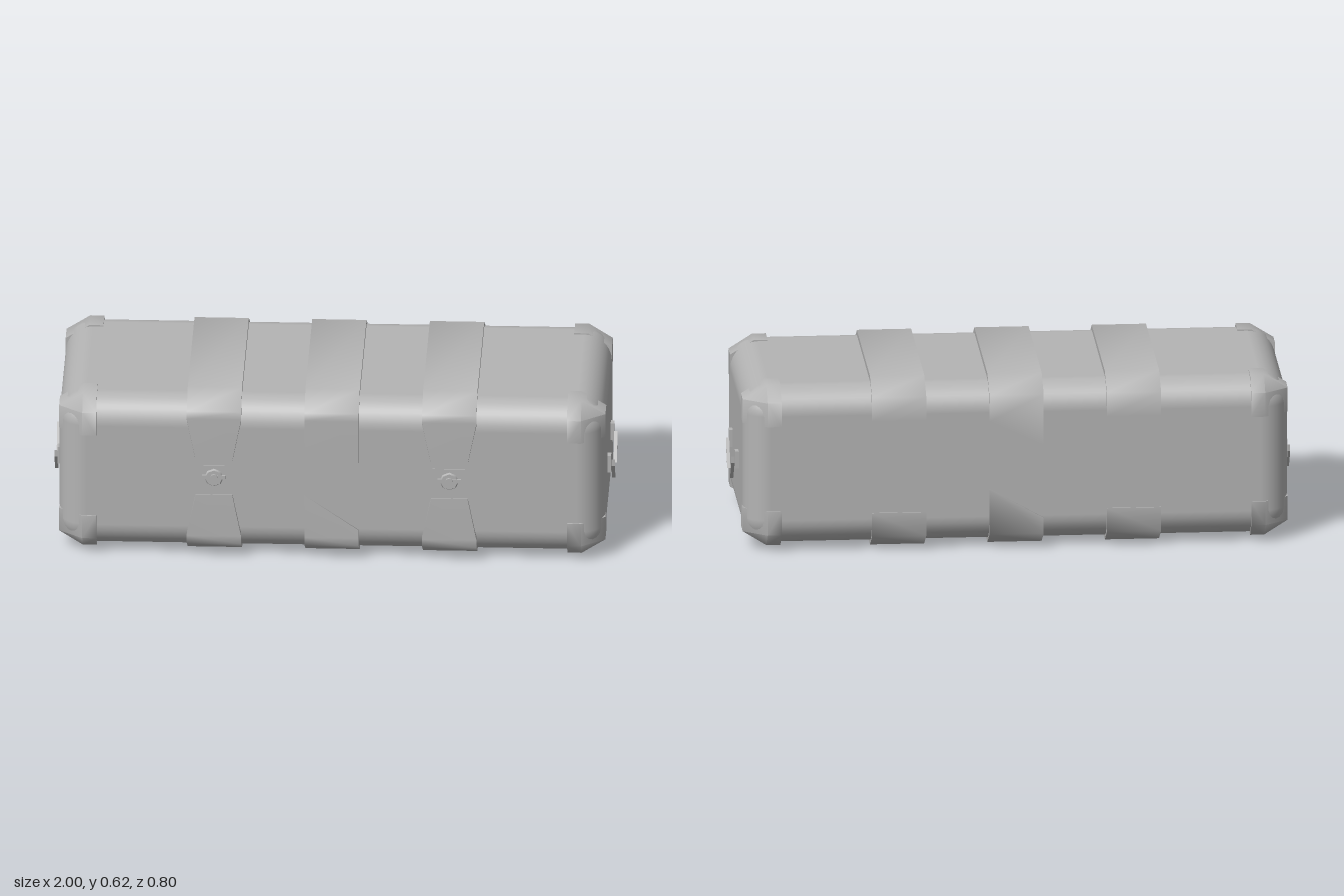
import * as THREE from 'three';
import { toCreasedNormals } from 'three/addons/utils/BufferGeometryUtils.js';
import { RoundedBoxGeometry } from 'three/addons/geometries/RoundedBoxGeometry.js';
import { ConvexGeometry } from 'three/addons/geometries/ConvexGeometry.js';

const MID = 0.3125; // half height of the case

const greyMetal = new THREE.MeshStandardMaterial({ color: 0xb4b4b4 });
greyMetal.name = 'grey metal';

function add(parent, name, geometry, x = 0, y = 0, z = 0) {
  const mesh = new THREE.Mesh(geometry, greyMetal);
  mesh.name = name;
  mesh.position.set(x, y, z);
  parent.add(mesh);
  return mesh;
}

// Band over the top (sy = 1) or under the bottom (sy = -1).
// Each section is [z, left height, right height, half width], heights from mid height.
function strapGeometry(sections, sy) {
  const rings = sections.map(([z, yl, yr, w]) => {
    const innerZ = Math.abs(z) > 0.35 ? Math.sign(z) * 0.36 : z * 0.92;
    const drop = (y) => y - (y > 0.2 ? 0.05 : 0);
    return {
      L: [-w, yl * sy, z], R: [w, yr * sy, z],
      l: [-w, drop(yl) * sy, innerZ], r: [w, drop(yr) * sy, innerZ],
    };
  });
  const pos = [];
  const quad = (a, b, c, d) => {
    const order = sy > 0 ? [a, b, c, a, c, d] : [a, c, b, a, d, c];
    order.forEach((p) => pos.push(...p));
  };
  for (let i = 0; i < rings.length - 1; i++) {
    const a = rings[i], b = rings[i + 1];
    quad(a.L, a.R, b.R, b.L);
    quad(a.R, a.r, b.r, b.R);
    quad(a.L, b.L, b.l, a.l);
  }
  const s = rings[0], e = rings[rings.length - 1];
  quad(s.L, s.l, s.r, s.R);
  quad(e.L, e.R, e.r, e.l);
  const g = new THREE.BufferGeometry();
  g.setAttribute('position', new THREE.Float32BufferAttribute(pos, 3));
  return toCreasedNormals(g, 1.2);
}

// Full strap path; the two ends may be cut at a slant
function strapSections(front, back, endWidth) {
  const w = 0.097;
  return [
    [0.394, front[0], front[1], endWidth],
    [0.395, 0.228, 0.228, w],
    [0.394, 0.258, 0.258, w],
    [0.3, 0.3125, 0.3125, w],
    [-0.3, 0.3125, 0.3125, w],
    [-0.395, 0.258, 0.258, w],
    [-0.395, back[0], back[1], w],
  ];
}

// Chamfered cap on one corner of the case
function cornerGeometry(sx, sy, sz) {
  const pts = [new THREE.Vector3(0.84 * sx, 0.157 * sy, 0.25 * sz)];
  for (const a of [0, 1]) for (const b of [0, 1]) {
    const x = [0.84, 0.89][a];
    pts.push(new THREE.Vector3(0.975 * sx, [0.157, 0.245][a] * sy, [0.25, 0.33][b] * sz));
    pts.push(new THREE.Vector3(x * sx, 0.297 * sy, [0.25, 0.335][b] * sz));
    pts.push(new THREE.Vector3(x * sx, [0.157, 0.245][b] * sy, 0.395 * sz));
  }
  return toCreasedNormals(new ConvexGeometry(pts), 1.0);
}

function latch() {
  const g = new THREE.Group();
  g.name = 'latch';
  add(g, 'latchPlate', new THREE.BoxGeometry(0.12, 0.1, 0.014), 0, 0, 0.386);
  add(g, 'latchDial', new THREE.CylinderGeometry(0.03, 0.036, 0.01, 8).rotateX(Math.PI / 2), 0, 0.003, 0.395);
  add(g, 'latchBar', new THREE.BoxGeometry(0.085, 0.014, 0.008), 0, 0.006, 0.397);
  add(g, 'latchKnob', new THREE.CylinderGeometry(0.013, 0.015, 0.01, 8).rotateX(Math.PI / 2), 0, 0.006, 0.4);
  return g;
}

// Folding handle on the +x end: two brackets and tapering arms
function handle(withGrip) {
  const g = new THREE.Group();
  g.name = 'handle';
  for (const s of [-1, 1]) {
    add(g, 'handleBracket', new THREE.BoxGeometry(0.016, 0.064, 0.03), 0.98, 0.282, 0.14 * s);
    const arm = new THREE.Shape([[0.124, 0.287], [0.124, 0.262], [0.065, 0.19]]
      .map(([z, y]) => new THREE.Vector2(z * s, y)));
    const geo = new THREE.ExtrudeGeometry(arm, { depth: 0.012, bevelEnabled: false });
    add(g, 'handleArm', geo.rotateY(-Math.PI / 2), 1.0);
  }
  if (withGrip) add(g, 'handleGrip', new THREE.BoxGeometry(0.01, 0.008, 0.13), 0.994, 0.194, 0);
  return g;
}

export function createModel() {
  const model = new THREE.Group();
  model.name = 'storageCase';

  add(model, 'caseBody', new RoundedBoxGeometry(1.95, 0.585, 0.78, 4, 0.1), 0, MID, 0);

  for (const sx of [-1, 1]) for (const sy of [-1, 1]) for (const sz of [-1, 1])
    add(model, 'cornerCap', cornerGeometry(sx, sy, sz), 0, MID, 0);

  // Outer straps taper towards the latches
  for (const x of [-0.42, 0.42]) {
    for (const sy of [-1, 1])
      add(model, sy > 0 ? 'topStrap' : 'bottomStrap',
        strapGeometry(strapSections([0.067, 0.067], [0.17, 0.17], 0.065), sy), x, MID, 0);
    const l = latch();
    l.position.set(x, 0.31, 0);
    model.add(l);
  }

  // Middle straps, with slanted ends
  add(model, 'topMiddleStrap', strapGeometry(strapSections([0.067, 0.067], [0.067, 0.16], 0.097), 1), 0, MID, 0);
  add(model, 'bottomMiddleStrap', strapGeometry(strapSections([0.064, 0.197], [0.2, 0.09], 0.097), -1), 0, MID, 0);

  const leftHandle = handle(false);
  const rightHandle = handle(true);
  rightHandle.rotation.y = Math.PI;
  model.add(leftHandle, rightHandle);
  return model;
}
